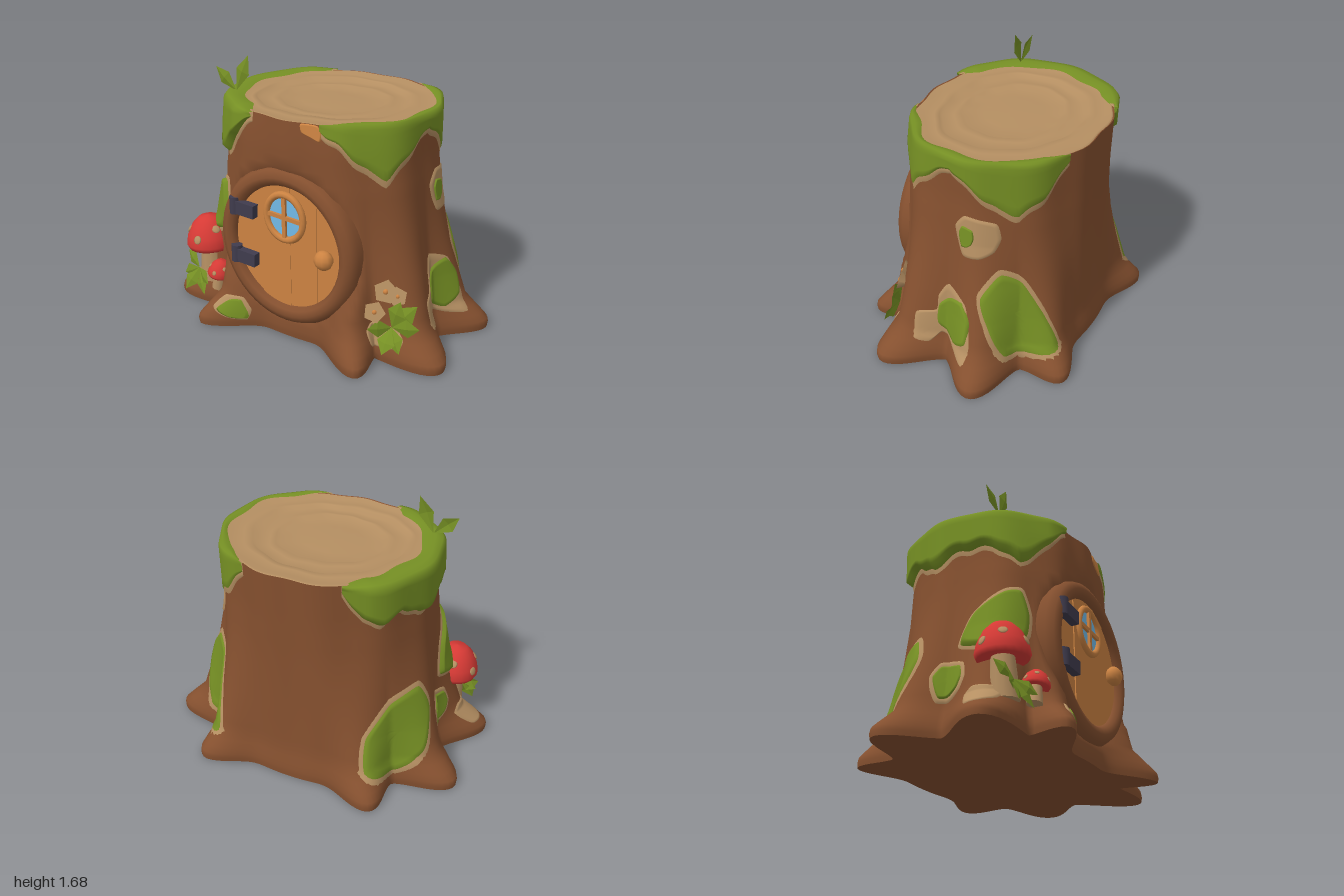
import * as THREE from 'three';

const mat = (name, color, side = THREE.FrontSide) => {
  const m = new THREE.MeshStandardMaterial({ color, side });
  m.name = name;
  return m;
};
const bark = mat('bark brown', 0x85502f);
const tan = mat('bare wood tan', 0xb58f62, THREE.DoubleSide);
const moss = mat('moss green', 0x769024, THREE.DoubleSide);
const plankMat = mat('door orange', 0xcc8342);
const red = mat('mushroom red', 0xd63a35);
const iron = mat('iron', 0x403c4e);
const glass = mat('window blue', 0x76bfee);

const lerpTable = (t, v) => {
  if (v <= t[0][0]) return t[0][1];
  for (let i = 1; i < t.length; i++)
    if (v <= t[i][0]) return THREE.MathUtils.lerp(t[i - 1][1], t[i][1], (v - t[i - 1][0]) / (t[i][0] - t[i - 1][0]));
  return t[t.length - 1][1];
};

// Trunk surface as radius by angle (0 = front, positive toward +x) and height
const sideR = [[0, 0.68], [0.9, 0.665], [1.2, 0.655], [1.44, 0.655]];
const frontR = [[0, 0.45], [0.25, 0.48], [0.5, 0.53], [0.9, 0.54], [1.2, 0.555], [1.3, 0.555], [1.44, 0.545]];
const backR = [[0, 0.56], [0.9, 0.585], [1.44, 0.605]];
const frontPower = [[0, 2.3], [0.4, 2.5], [1.0, 2.5], [1.44, 2.1]];
const flare = [[0, 0.98], [0.05, 1], [0.1, 0.86], [0.2, 0.56], [0.4, 0.37], [0.65, 0.18], [0.9, 0.05], [1.15, 0]];
const roots = [[0.709, 0.92, 0.18], [1.197, 1.07, 0.22], [1.84, 1.035, 0.2], [2.433, 0.925, 0.19]]; // angle, reach, width
function radius(th, y) {
  const s = Math.abs(Math.sin(th)), c = Math.cos(th), f = lerpTable(flare, y);
  const n = c > 0 ? lerpTable(frontPower, y) : 2.2;
  const base = Math.pow(Math.pow(s / lerpTable(sideR, y), n) + Math.pow(Math.abs(c) / lerpTable(c > 0 ? frontR : backR, y), n), -1 / n);
  const a = Math.abs(Math.atan2(Math.sin(th), Math.cos(th)));
  let lobe = 0;
  for (const [rt, tip, w] of roots)
    lobe = Math.max(lobe, (tip - base - 0.07) * Math.exp(-Math.pow(Math.abs(a - rt) / (w + 0.12 * y), 2)));
  const folds = 0.008 * Math.sin(th * 11 + y) * Math.min(1, y * 2);
  // hollow behind the door
  const e = Math.hypot(base * s / 0.46, (y - 0.63) / 0.48);
  const hollow = c > 0 && e < 1 ? 0.1 * Math.min(1, (1 - e) * 6) : 0;
  return base + f * (0.07 + lobe) + folds - hollow;
}
const surf = (th, y, off = 0, k = 1) => {
  const r = (radius(th, y) + off) * k;
  return [r * Math.sin(th), y, r * Math.cos(th)];
};

// Grid of points fn(i, j); optionally closed along i
function grid(nu, nv, fn, closed) {
  const pos = [], idx = [];
  for (let j = 0; j < nv; j++) for (let i = 0; i < nu; i++) pos.push(...fn(i, j));
  for (let j = 0; j < nv - 1; j++) for (let i = 0; i < (closed ? nu : nu - 1); i++) {
    const a = j * nu + i, b = j * nu + (i + 1) % nu;
    idx.push(a, b, a + nu, b, b + nu, a + nu);
  }
  const g = new THREE.BufferGeometry();
  g.setAttribute('position', new THREE.Float32BufferAttribute(pos, 3));
  g.setIndex(idx);
  g.computeVertexNormals();
  return g;
}
const put = (parent, name, geo, m, x = 0, y = 0, z = 0) => {
  const mesh = new THREE.Mesh(geo, m);
  mesh.name = name;
  mesh.position.set(x, y, z);
  parent.add(mesh);
  return mesh;
};

// Turns [u, y] points seen from direction phi into [angle, y] on the trunk
const seen = (phi, pts) => pts.map(([u, y]) => {
  let best = 0, err = 9;
  for (let d = -1.5; d <= 1.5; d += 0.01) {
    const e = Math.abs(radius(phi + d, y) * Math.sin(d) - u) + 0.02 * Math.abs(d);
    if (e < err) { err = e; best = phi + d; }
  }
  return [best, y];
});
const oval = (th, y, w, h) => Array.from({ length: 9 }, (_, i) => {
  const a = i / 9 * Math.PI * 2, k = 1 + 0.12 * Math.sin(i * 2.3);
  return [th + w * k * Math.cos(a), y + h * k * Math.sin(a)];
});
function patch(parent, name, pts, m, off, grow = 0) {
  if (THREE.ShapeUtils.area(pts.map(([x, y]) => ({ x, y }))) < 0) pts = pts.slice().reverse();
  const cx = pts.reduce((s, p) => s + p[0], 0) / pts.length, cy = pts.reduce((s, p) => s + p[1], 0) / pts.length;
  const line = new THREE.CatmullRomCurve3(pts.map(p => new THREE.Vector3(p[0], p[1], 0)), true, 'catmullrom', 0.3).getPoints(60);
  put(parent, name, grid(60, 11, (i, j) => {
    const dx = line[i].x - cx, dy = line[i].y - cy, k = (1 + grow / Math.hypot(dx, dy)) * (1 - j / 10);
    return surf(cx + dx * k, Math.max(0.01, cy + dy * k), j ? off : -0.004);
  }, true), m);
}
const mossPatch = (parent, pts, off = 0.016) => {
  patch(parent, 'patchBorder', pts, tan, 0.007, 0.03);
  patch(parent, 'mossPatch', pts, moss, off);
};

// Moss draped over the rim, following a lower edge of [angle, y]
function cap(parent, edge, topWidth, bulge) {
  const t0 = edge[0][0], t1 = edge[edge.length - 1][0], n = 70;
  for (const [name, m, drop, off] of [['capBorder', tan, 0.035, 0.008], ['mossCap', moss, 0, bulge]])
    put(parent, name, grid(n, 12, (i, j) => {
      const t = i / (n - 1), th = t0 + (t1 - t0) * t, fade = Math.min(1, Math.sin(Math.PI * t) * 3);
      const low = lerpTable(edge, th) - drop + 0.012 * Math.sin(th * 23);
      if (j < 8) return surf(th, low + (1.425 - low) * j / 7, j ? off * (0.4 + 0.6 * fade) : -0.004);
      const k = (j - 8) / 3, p = surf(th, 1.44, off * 0.6 * (1 - k), 1 - (topWidth + 0.02 * Math.sin(th * 9)) * fade * k);
      p[1] = 1.442 + (m === moss ? 0.016 * fade : 0.004) * Math.sin(Math.PI * (0.25 + 0.6 * k));
      return p;
    }), m);
}

// Pointed leaf folded along its middle
function leaf(parent, base, tip, width) {
  const b = new THREE.Vector3(...base), t = new THREE.Vector3(...tip), d = t.clone().sub(b);
  const s = new THREE.Vector3(-d.y, d.x, 0).normalize().multiplyScalar(width / 2);
  const mid = b.clone().addScaledVector(d, 0.55), L = mid.clone().add(s), R = mid.clone().sub(s);
  mid.z += 0.012;
  const g = new THREE.BufferGeometry().setFromPoints([b, mid, L, b, R, mid, L, mid, t, mid, R, t]);
  g.computeVertexNormals();
  put(parent, 'leaf', g, moss);
}

function mushroom(parent, x, y, z, r, h, stemH, tilt) {
  const g = new THREE.Group();
  g.name = 'mushroom';
  g.position.set(x, y, z);
  g.rotation.z = tilt;
  const dome = [[0, 0.1], [0.6, 0.0], [0.92, -0.04], [1, 0.1], [0.92, 0.38], [0.7, 0.72], [0.4, 0.94], [0, 1]];
  put(g, 'mushroomCap', new THREE.LatheGeometry(dome.map(p => new THREE.Vector2(p[0] * r, p[1] * h)), 20), red);
  put(g, 'mushroomStem', new THREE.CylinderGeometry(r * 0.42, r * 0.56, stemH, 12), tan, 0, 0.02 - stemH / 2, 0);
  for (const [a, e] of [[0.1, 0.4], [-1, 0.6], [1.1, 0.75], [2.2, 0.4], [3.3, 0.7], [4.4, 0.35]]) {
    const n = new THREE.Vector3(Math.cos(e) * Math.sin(a), Math.sin(e), Math.cos(e) * Math.cos(a));
    const spot = new THREE.Mesh(new THREE.SphereGeometry(r * 0.18, 8, 6), tan);
    spot.name = 'spot';
    spot.scale.z = 0.3;
    spot.position.set(n.x * r, n.y * h, n.z * r).multiplyScalar(0.98);
    spot.lookAt(spot.position.clone().add(n));
    g.add(spot);
  }
  parent.add(g);
}

export function createModel() {
  const model = new THREE.Group();
  model.name = 'treeStumpHouse';

  // Trunk, underside and ringed top
  const ys = [0, 0.03, 0.06, 0.1, 0.15, 0.2, 0.27, 0.34, 0.42, 0.52, 0.65, 0.78, 0.9, 1.0, 1.08, 1.15, 1.22, 1.3, 1.4, 1.44];
  const N = 200, ang = i => i / N * Math.PI * 2;
  put(model, 'trunk', grid(N, ys.length, (i, j) => surf(ang(i), ys[j]), true), bark);
  put(model, 'underside', grid(N, 2, (i, j) => surf(-ang(i), 0, 0, 1 - j), true), bark);
  const rings = [[0.985, 1.435], [0.97, 1.443], [0.9, 1.428], [0.8, 1.432], [0.74, 1.436], [0.7, 1.412], [0.58, 1.418], [0.52, 1.425], [0.48, 1.405], [0.3, 1.41], [0, 1.412]];
  put(model, 'rim', grid(N, 2, (i, j) => surf(ang(i), 1.44 - 0.005 * j, 0, 1 - 0.015 * j), true), bark);
  put(model, 'cutTop', grid(N, rings.length, (i, j) => {
    const [k, y] = rings[j], p = surf(ang(i), 1.44, 0, k * (1 + (j > 1 ? 0.02 * Math.sin(ang(i) * 3 + j) : 0)));
    return [p[0] - 0.03 * (1 - k), y, p[2]];
  }, true), tan);

  // Moss on the rim and trunk
  cap(model, [[0.42, 1.41], [0.6, 1.33], [0.75, 1.24], [0.9, 1.15], [1.04, 1.1], [1.3, 1.26], [1.55, 1.37], [1.75, 1.26], [2.0, 1.12], [2.16, 1.08], [2.4, 1.2], [2.65, 1.4]], 0.06, 0.018);
  cap(model, [[-2.6, 1.4], [-2.4, 1.2], [-2.25, 1.17], [-2.05, 1.23], [-1.8, 1.13], [-1.5, 1.21], [-1.2, 1.2], [-0.97, 1.08], [-0.75, 1.2], [-0.6, 1.32], [-0.42, 1.41]], 0.13, 0.05);
  const right = pts => seen(Math.PI / 2, pts);
  patch(model, 'bareSpot', oval(1.8, 0.95, 0.22, 0.145), tan, 0.008);
  patch(model, 'mossSpot', oval(1.71, 0.95, 0.075, 0.075), moss, 0.016);
  mossPatch(model, [[2.0, 0.73], [1.84, 0.58], [1.9, 0.4], [2.05, 0.14], [2.48, 0.17], [2.38, 0.42], [2.2, 0.65]]);
  patch(model, 'bareSpot', right([[-0.03, 0.57], [-0.09, 0.48], [-0.1, 0.37], [-0.22, 0.34], [-0.22, 0.17], [-0.12, 0.14], [-0.06, 0.2], [0.05, 0.15], [0.18, 0.13], [0.2, 0.25], [0.13, 0.5]]), tan, 0.008);
  patch(model, 'mossPatch', right([[0, 0.49], [-0.08, 0.42], [-0.08, 0.27], [0.05, 0.18], [0.16, 0.25], [0.17, 0.4], [0.1, 0.51]]), moss, 0.018);
  mossPatch(model, [[-1.87, 0.68], [-1.78, 0.52], [-1.92, 0.24], [-2.15, 0.1], [-2.45, 0.18], [-2.42, 0.42], [-2.15, 0.62]]);
  mossPatch(model, oval(-1.52, 0.34, 0.13, 0.11));
  mossPatch(model, [[-0.95, 0.9], [-0.88, 0.74], [-0.92, 0.58], [-1.2, 0.5], [-1.45, 0.55], [-1.35, 0.74], [-1.1, 0.88]], 0.03);
  patch(model, 'bareSpot', oval(-1.22, 0.17, 0.13, 0.08), tan, 0.008);
  patch(model, 'bareSpot', oval(0.95, 0.17, 0.12, 0.08), tan, 0.008);
  patch(model, 'bareSpot', seen(0, [[-0.51, 0.13], [-0.45, 0.2], [-0.33, 0.2], [-0.27, 0.12], [-0.3, 0.05], [-0.4, 0.06]]), tan, 0.008);
  patch(model, 'mossPatch', seen(0, [[-0.47, 0.12], [-0.41, 0.18], [-0.33, 0.185], [-0.28, 0.1], [-0.3, 0.055], [-0.39, 0.065]]), moss, 0.018);
  patch(model, 'rimChip', [[0.21, 1.435], [0.22, 1.385], [0.33, 1.36], [0.43, 1.34], [0.45, 1.39], [0.4, 1.435]], plankMat, 0.007);

  // Round door frame
  const door = new THREE.Group();
  door.name = 'door';
  door.position.set(0, 0.63, 0);
  model.add(door);
  const ring = [[0.5, 0.3], [0.5, 0.44], [0.497, 0.51], [0.475, 0.555], [0.435, 0.575], [0.4, 0.565], [0.378, 0.535], [0.37, 0.45]];
  const frame = put(door, 'doorFrame', new THREE.LatheGeometry(ring.map(p => new THREE.Vector2(...p)), 48).rotateX(Math.PI / 2), bark);
  frame.scale.y = 1.04;

  // Planks cut from the oval, stepped in depth
  for (const [x0, x1, z] of [[-0.38, -0.18, 0.53], [-0.18, 0.03, 0.537], [0.03, 0.22, 0.534], [0.22, 0.38, 0.53]]) {
    const top = Array.from({ length: 13 }, (_, i) => {
      const x = x0 + (x1 - x0) * i / 12;
      return new THREE.Vector2(x, 0.415 * Math.sqrt(Math.max(0, 1 - (x / 0.38) ** 2)));
    });
    const s = new THREE.Shape([...top, ...top.slice().reverse().map(p => new THREE.Vector2(p.x, -p.y))]);
    put(door, 'plank', new THREE.ExtrudeGeometry(s, { depth: 0.06, bevelEnabled: false }), plankMat, 0, 0, z - 0.06);
  }

  // Window with crossbars
  put(door, 'windowGlass', new THREE.CircleGeometry(0.13, 28), glass, 0, 0.2, 0.542).scale.y = 1.1;
  put(door, 'windowRing', new THREE.TorusGeometry(0.132, 0.021, 8, 28), plankMat, 0, 0.2, 0.545).scale.y = 1.1;
  put(door, 'windowBar', new THREE.BoxGeometry(0.026, 0.27, 0.024), plankMat, 0, 0.2, 0.548);
  put(door, 'windowBar', new THREE.BoxGeometry(0.25, 0.026, 0.024), plankMat, 0, 0.2, 0.547).rotation.z = -0.06;

  // Hinges and knob
  for (const y of [0.2, -0.125]) {
    put(door, 'hingePin', new THREE.CylinderGeometry(0.036, 0.036, 0.11, 10), iron, -0.365, y + 0.005, 0.558);
    put(door, 'hingeStrap', new THREE.BoxGeometry(0.15, 0.085, 0.05), iron, -0.285, y - 0.005, 0.56).rotation.z = -0.05;
  }
  put(door, 'knob', new THREE.SphereGeometry(0.062, 10, 7), plankMat, 0.292, 0.005, 0.57).scale.z = 0.85;

  // Mushrooms with leaves at the right foot
  mushroom(model, -0.735, 0.4, 0.38, 0.158, 0.21, 0.26, 0.06);
  mushroom(model, -0.575, 0.265, 0.49, 0.083, 0.105, 0.12, -0.15);
  for (const [x, y, z] of [[-0.9, 0.33, 0.42], [-0.87, 0.2, 0.5], [-0.84, 0.1, 0.54], [-0.68, 0.1, 0.54], [-0.64, 0.19, 0.54]])
    leaf(model, [-0.77, 0.25, 0.47], [x, y, z], 0.1);

  // Blossoms and leaves at the left foot
  for (const [x, y, z] of [[0.73, 0.42, 0.42], [0.82, 0.4, 0.38], [0.85, 0.26, 0.4], [0.77, 0.12, 0.5], [0.67, 0.1, 0.53], [0.57, 0.24, 0.53]])
    leaf(model, [0.68, 0.24, 0.43], [x, y, z], 0.12);
  for (const [x, y, z, r] of [[0.62, 0.455, 0.4, 0.075], [0.58, 0.335, 0.46, 0.068], [0.69, 0.435, 0.38, 0.06]]) {
    const f = new THREE.Group();
    f.name = 'blossom';
    f.position.set(x, y, z);
    f.rotation.set(-0.3, 0.4, x * 5);
    put(f, 'petals', new THREE.CylinderGeometry(r, r * 0.4, 0.06, 5).rotateX(Math.PI / 2), tan);
    put(f, 'blossomCentre', new THREE.SphereGeometry(r * 0.25, 8, 6), plankMat, 0, 0, 0.022);
    put(f, 'blossomStem', new THREE.CylinderGeometry(0.014, 0.014, 0.12, 6).rotateX(Math.PI / 2), tan, 0, 0, -0.08);
    model.add(f);
  }

  // Sprout on the rim
  leaf(model, [-0.57, 1.45, 0.25], [-0.725, 1.585, 0.25], 0.1);
  leaf(model, [-0.57, 1.45, 0.25], [-0.475, 1.685, 0.24], 0.1);
  return model;
}
